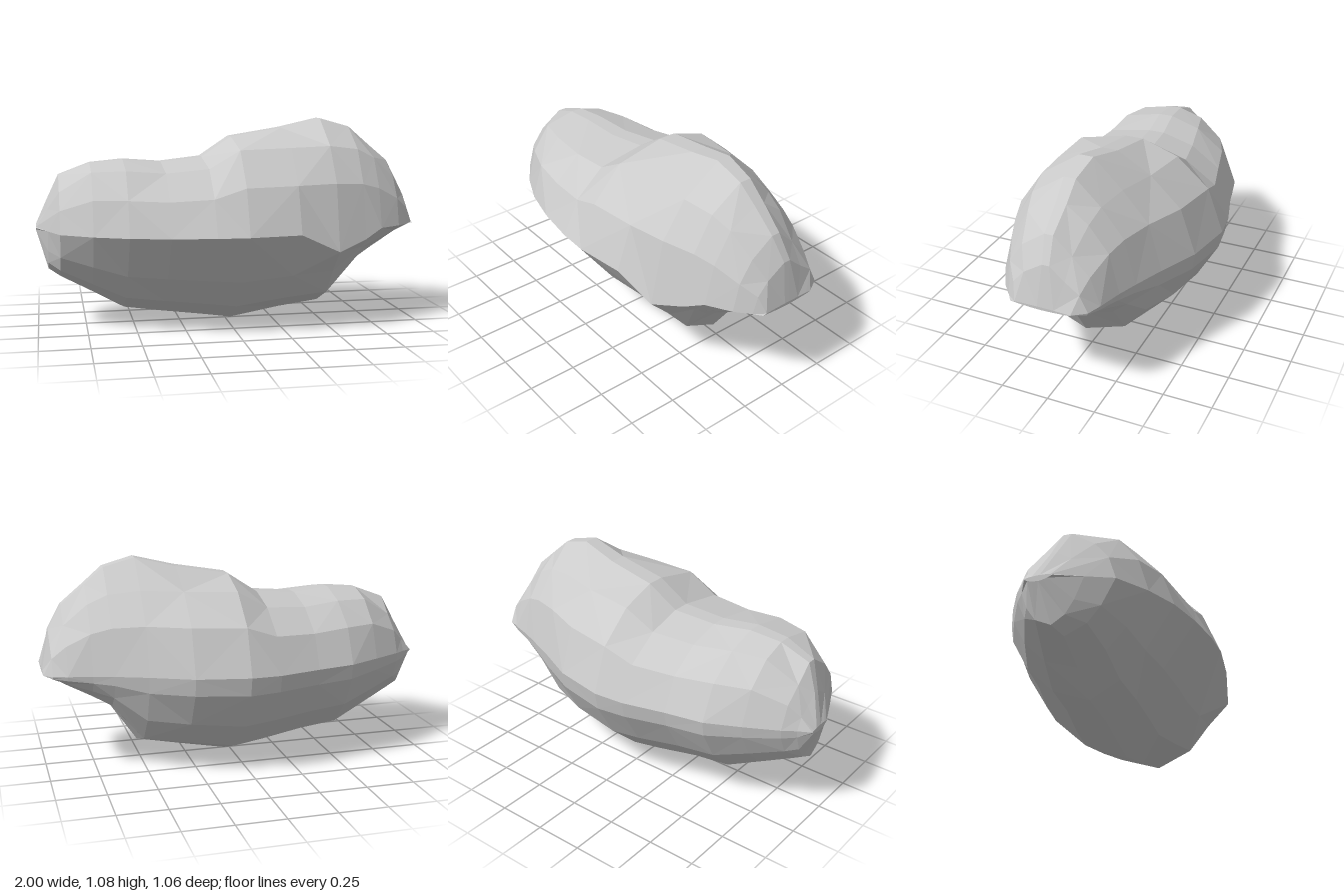
import * as THREE from 'three';

const WAIST = 0.52; // height of the widest edge

// stations along x: [x, top y, bottom y, front z, back z,
//   ridge shift in z, shoulder fullness, belly exponent (small = boxy), drop of the front waist]
const stations = [
  [-1.0, 0.53, 0.5, 0.0, -0.14, 0, 1, 1, 0],
  [-0.94, 0.67, 0.3, 0.13, -0.18, 0, 0.8, 0.8, 0],
  [-0.88, 0.8, 0.265, 0.26, -0.23, 0, 0.82, 0.75, 0],
  [-0.72, 0.86, 0.18, 0.365, -0.325, 0, 1.02, 0.85, 0],
  [-0.55, 0.875, 0.085, 0.44, -0.41, 0, 1, 0.95, 0],
  [-0.35, 0.858, 0.057, 0.49, -0.45, -0.03, 1, 1, 0],
  [-0.13, 0.88, 0.025, 0.52, -0.51, -0.04, 1, 1, 0],
  [0.03, 0.985, 0.0, 0.525, -0.53, -0.04, 1, 1, 0],
  [0.3, 1.03, 0.05, 0.49, -0.48, -0.03, 0.93, 0.9, 0],
  [0.51, 1.08, 0.085, 0.445, -0.385, -0.03, 0.86, 0.75, 0.1],
  [0.67, 1.035, 0.32, 0.375, -0.32, -0.02, 0.89, 0.5, 0.05],
  [0.77, 0.95, 0.38, 0.33, -0.28, -0.02, 0.94, 0.6, 0],
  [0.89, 0.85, 0.45, 0.26, -0.24, 0, 0.85, 0.7, 0],
  [0.96, 0.73, 0.495, 0.2, -0.21, 0, 0.8, 0.8, 0],
  [1.0, 0.525, 0.51, 0.17, -0.14, 0, 1, 1, 0],
];

// section outline from the crest over the front, under the belly and up the back:
// [share of half width, share of height above (+) or below (-) the waist]
const outline = [
  [0.1, 1], [0.58, 0.88], [0.86, 0.5], [1, 0], [0.64, -0.5], [0.34, -0.81], [0, -1],
  [-0.43, -0.83], [-0.76, -0.52], [-0.97, -0.15], [-1, 0.04], [-0.8, 0.54], [-0.45, 0.86], [-0.08, 1],
];

function sectionPoint([x, top, bottom, front, back, ridge, full, belly, drop], [u, v]) {
  const mid = (front + back) / 2, half = (front - back) / 2;
  if (v > 0) {
    const rise = v < 1 ? v * full : 1;
    return new THREE.Vector3(x, WAIST + rise * (top - WAIST), mid + u * half + ridge * v);
  }
  const spread = Math.sign(u) * Math.abs(u) ** belly;
  const sag = v === 0 ? drop : 0;
  return new THREE.Vector3(x, WAIST - sag + v * (WAIST - bottom), mid + spread * half);
}

function boulderGeometry() {
  const rings = stations.map((s) => outline.map((o) => sectionPoint(s, o)));
  const n = outline.length;
  const points = [];
  const tri = (...corners) => points.push(...corners);
  // skin between neighbouring sections, with alternating diagonals for irregular facets
  for (let i = 0; i < rings.length - 1; i++) {
    for (let j = 0; j < n; j++) {
      const k = (j + 1) % n;
      const a = rings[i][j], b = rings[i + 1][j], c = rings[i + 1][k], d = rings[i][k];
      if ((i + j) % 2) tri(a, d, b, b, d, c);
      else tri(a, d, c, a, c, b);
    }
  }
  // blunt ends
  const cap = (ring, flip) => {
    const centre = ring.reduce((s, p) => s.add(p), new THREE.Vector3()).divideScalar(n);
    ring.forEach((p, j) => {
      const q = ring[(j + 1) % n];
      if (flip) tri(centre, q, p);
      else tri(centre, p, q);
    });
  };
  cap(rings[0], true);
  cap(rings[rings.length - 1], false);
  const geometry = new THREE.BufferGeometry().setFromPoints(points);
  geometry.computeVertexNormals();
  return geometry;
}

export function createModel() {
  const group = new THREE.Group();
  group.name = 'rock';
  const material = new THREE.MeshStandardMaterial({ color: 0xcccccc, flatShading: true });
  const boulder = new THREE.Mesh(boulderGeometry(), material);
  boulder.name = 'boulder';
  group.add(boulder);
  return group;
}
